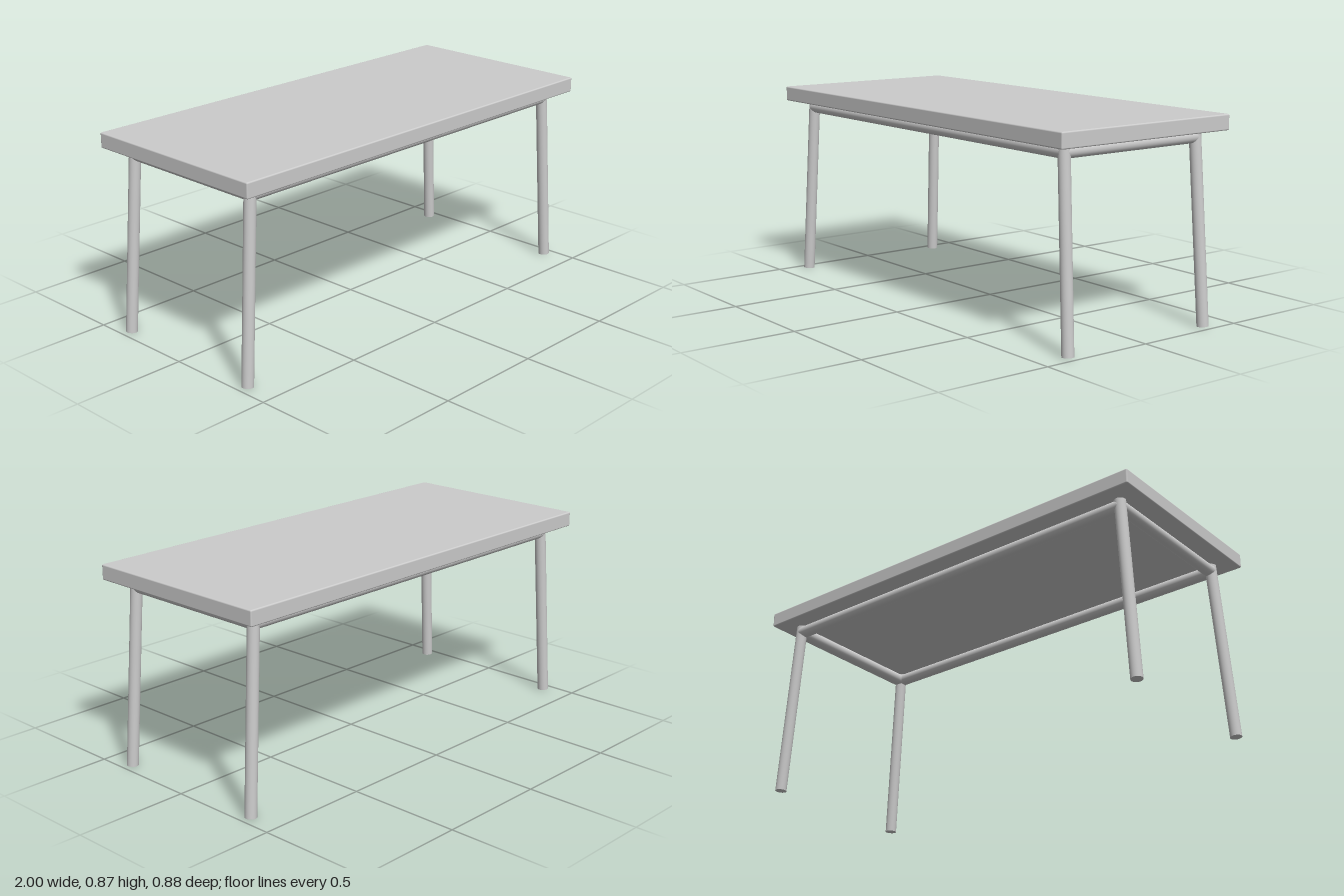
import * as THREE from 'three';
import { RoundedBoxGeometry } from 'three/addons/geometries/RoundedBoxGeometry.js';

const TOP_Y = 0.875, UNDER_Y = 0.809, RADIUS = 0.025;
const CORNER_X = 0.9, CORNER_Z = 0.345; // frame corners, tube centre lines
const FOOT_X = 0.955, FOOT_Z = 0.363;   // splayed feet

export function createModel() {
  const group = new THREE.Group();
  const material = new THREE.MeshStandardMaterial({ color: 0xcccccc });
  const up = new THREE.Vector3(0, 1, 0);

  // Round bar between two points
  function bar(name, from, to, radius) {
    const dir = to.clone().sub(from);
    const mesh = new THREE.Mesh(new THREE.CylinderGeometry(radius, radius, dir.length(), 32), material);
    mesh.name = name;
    mesh.position.copy(from).add(to).multiplyScalar(0.5);
    mesh.quaternion.setFromUnitVectors(up, dir.normalize());
    group.add(mesh);
  }

  // Table top with softly rounded edges
  const top = new THREE.Mesh(new RoundedBoxGeometry(2, TOP_Y - UNDER_Y, 0.88, 4, 0.006), material);
  top.name = 'tableTop';
  top.position.y = (TOP_Y + UNDER_Y) / 2;
  group.add(top);

  // Rails forming a rectangular frame below the top
  const railRadius = 0.027, railY = UNDER_Y - railRadius;
  for (const s of [-1, 1]) {
    bar(s > 0 ? 'frontRail' : 'backRail',
      new THREE.Vector3(-CORNER_X, railY, s * CORNER_Z), new THREE.Vector3(CORNER_X, railY, s * CORNER_Z), railRadius);
    bar(s > 0 ? 'leftRail' : 'rightRail',
      new THREE.Vector3(s * CORNER_X, railY, -CORNER_Z), new THREE.Vector3(s * CORNER_X, railY, CORNER_Z), railRadius);
  }

  // Splayed legs running from the frame corners to the floor
  for (const sx of [-1, 1]) for (const sz of [-1, 1]) {
    bar((sz > 0 ? 'front' : 'back') + (sx > 0 ? 'Left' : 'Right') + 'Leg',
      new THREE.Vector3(sx * FOOT_X, 0.002, sz * FOOT_Z),
      new THREE.Vector3(sx * CORNER_X, UNDER_Y + 0.004, sz * CORNER_Z), RADIUS);
  }
  return group;
}
